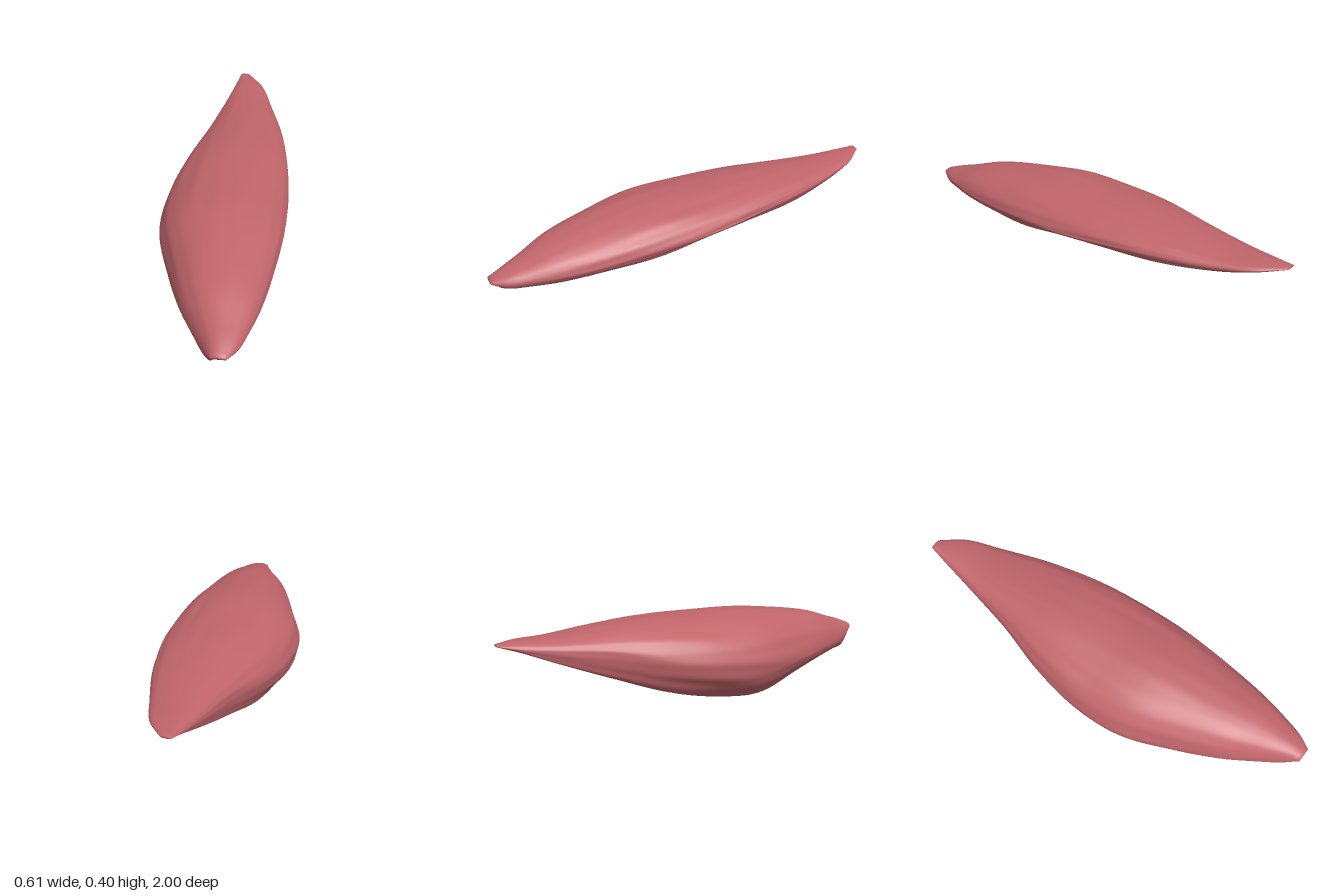
import * as THREE from 'three';

// Stations along the length, and how each feature of the cross-section runs along them
const Z = [-1, -0.9, -0.75, -0.5, -0.25, 0, 0.25, 0.5, 0.7, 0.85, 0.93, 1];
const PROFILE = {
  leftX: [-0.14, -0.155, -0.175, -0.215, -0.275, -0.305, -0.28, -0.175, -0.075, 0.025, 0.08, 0.13],
  leftY: [0.366, 0.345, 0.325, 0.29, 0.24, 0.2, 0.17, 0.16, 0.165, 0.16, 0.17, 0.205],
  topX: [-0.115, -0.09, -0.07, -0.04, -0.01, 0.01, 0.02, 0.05, 0.09, 0.13, 0.15, 0.165],
  topY: [0.372, 0.374, 0.372, 0.387, 0.4, 0.397, 0.393, 0.362, 0.325, 0.275, 0.25, 0.222],
  rightX: [-0.09, 0, 0.07, 0.17, 0.24, 0.285, 0.303, 0.298, 0.282, 0.255, 0.235, 0.2],
  rightY: [0.366, 0.352, 0.335, 0.325, 0.31, 0.285, 0.265, 0.24, 0.225, 0.215, 0.21, 0.21],
  lipLX: [-0.12, -0.145, -0.16, -0.18, -0.19, -0.18, -0.15, -0.09, 0, 0.08, 0.11, 0.145],
  lipLY: [0.362, 0.33, 0.27, 0.175, 0.085, 0.03, 0.005, 0.07, 0.1, 0.11, 0.12, 0.2],
  lipRX: [-0.1, -0.02, 0.045, 0.135, 0.195, 0.23, 0.25, 0.25, 0.24, 0.23, 0.22, 0.19],
  lipRY: [0.362, 0.34, 0.305, 0.275, 0.265, 0.245, 0.2, 0.185, 0.175, 0.18, 0.185, 0.205],
  hollow: [0, 0.01, 0.03, 0.07, 0.09, 0.085, 0.07, 0.065, 0.06, 0.05, 0.04, 0],
};

// Smooth (monotone-safe) interpolation of one feature at z
function sample(values, z) {
  let i = 0;
  while (i < Z.length - 2 && z > Z[i + 1]) i++;
  const slope = (k) => {
    const a = Math.max(k - 1, 0), b = Math.min(k + 1, Z.length - 1);
    return (values[b] - values[a]) / (Z[b] - Z[a]);
  };
  const h = Z[i + 1] - Z[i], t = (z - Z[i]) / h, t2 = t * t, t3 = t2 * t;
  return (2 * t3 - 3 * t2 + 1) * values[i] + (t3 - 2 * t2 + t) * h * slope(i)
    + (3 * t2 - 2 * t3) * values[i + 1] + (t3 - t2) * h * slope(i + 1);
}

// Closed crescent section: domed back, two lips, hollow underside
function section(z, count) {
  const p = {};
  for (const key in PROFILE) p[key] = sample(PROFILE[key], z);
  const pts = [];
  const add = (x, y) => pts.push(new THREE.Vector3(x, y, z));
  const lerp = THREE.MathUtils.lerp;
  add(p.lipLX, p.lipLY);
  add(lerp(p.lipLX, p.leftX, 0.7), lerp(p.lipLY, p.leftY, 0.42));
  for (const a of [0, 30, 60, 90]) {
    const r = a * Math.PI / 180;
    add(p.topX + (p.leftX - p.topX) * Math.cos(r), p.leftY + (p.topY - p.leftY) * Math.sin(r));
  }
  for (const a of [60, 30, 0]) {
    const r = a * Math.PI / 180;
    add(p.topX + (p.rightX - p.topX) * Math.cos(r), p.rightY + (p.topY - p.rightY) * Math.sin(r));
  }
  add(lerp(p.lipRX, p.rightX, 0.7), lerp(p.lipRY, p.rightY, 0.4));
  add(p.lipRX, p.lipRY);
  for (const [t, k] of [[0.18, 0.7], [0.5, 1], [0.8, 0.75]]) {
    add(lerp(p.lipRX, p.lipLX, t), lerp(p.lipRY, p.lipLY, t) + p.hollow * k);
  }
  return new THREE.CatmullRomCurve3(pts, true, 'centripetal').getPoints(count).slice(0, count);
}

function muscleGeometry(rings = 110, count = 112) {
  const positions = [], index = [];
  for (let i = 0; i <= rings; i++) {
    const z = -1 + 2 * i / rings;
    const pts = section(z, count);
    const c = pts.reduce((s, p) => s.add(p), new THREE.Vector3()).divideScalar(count);
    const fade = 1 - z * z;
    pts.forEach((p, j) => {
      // Shallow fibres running slightly askew along the length
      const a = j / count * Math.PI * 2;
      const ripple = Math.sin(13 * a + 5 * z) * Math.sin(3 * a - 4 * z) + 0.5 * Math.sin(22 * a - 7 * z);
      const k = 1 + 0.009 * fade * ripple;
      positions.push(c.x + (p.x - c.x) * k, Math.max(0, c.y + (p.y - c.y) * k), z);
    });
  }
  for (let i = 0; i < rings; i++) {
    for (let j = 0; j < count; j++) {
      const n = (j + 1) % count;
      const a = i * count + j, b = i * count + n, c = a + count, d = b + count;
      index.push(a, c, b, b, c, d);
    }
  }
  // Close both tips
  for (const [ring, front] of [[0, false], [rings, true]]) {
    const start = ring * count;
    const centre = positions.length / 3;
    let x = 0, y = 0;
    for (let j = 0; j < count; j++) {
      x += positions[(start + j) * 3] / count;
      y += positions[(start + j) * 3 + 1] / count;
    }
    positions.push(x, y, front ? 1 : -1);
    for (let j = 0; j < count; j++) {
      const a = start + j, b = start + (j + 1) % count;
      if (front) index.push(centre, b, a);
      else index.push(centre, a, b);
    }
  }
  const geometry = new THREE.BufferGeometry();
  geometry.setAttribute('position', new THREE.Float32BufferAttribute(positions, 3));
  geometry.setIndex(index);
  geometry.computeVertexNormals();
  return geometry;
}

export function createModel() {
  const group = new THREE.Group();
  group.name = 'muscle';
  const flesh = new THREE.MeshStandardMaterial({ color: 0xc0656a });
  flesh.name = 'muscleRed';
  const belly = new THREE.Mesh(muscleGeometry(), flesh);
  belly.name = 'muscleBelly';
  group.add(belly);
  return group;
}
